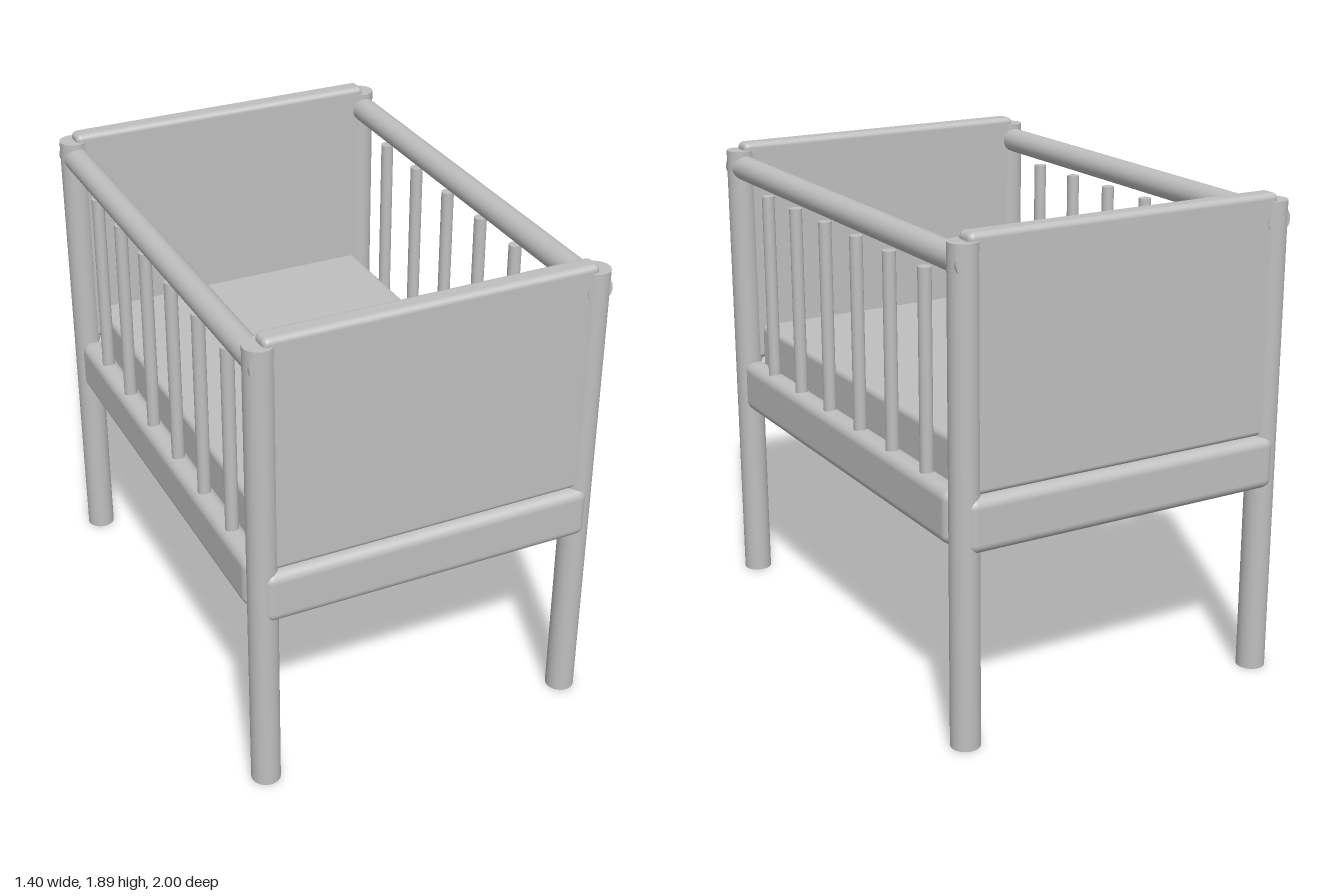
import * as THREE from 'three';
import { RoundedBoxGeometry } from 'three/addons/geometries/RoundedBoxGeometry.js';

export function createModel() {
  const crib = new THREE.Group();
  crib.name = 'crib';
  const grey = new THREE.MeshStandardMaterial({ color: 0xbfbfbf });
  grey.name = 'plain grey';

  const add = (name, geometry, x, y, z) => {
    const mesh = new THREE.Mesh(geometry, grey);
    mesh.name = name;
    mesh.position.set(x, y, z);
    crib.add(mesh);
    return mesh;
  };
  const rounded = (w, h, d, r) => new RoundedBoxGeometry(w, h, d, 5, r);
  const rod = (r, h) => new THREE.CylinderGeometry(r, r, h, 32);

  const postX = 0.645, postZ = 0.933;

  for (const side of [1, -1]) {
    const sideName = side > 0 ? 'left' : 'right';
    const endName = side > 0 ? 'front' : 'back';

    // Corner posts
    for (const end of [1, -1]) {
      add(`${sideName}${end > 0 ? 'Front' : 'Back'}Post`, rod(0.056, 1.86), side * postX, 0.93, end * postZ);
    }

    // Side: round top rail running into the posts, bars and lower rail
    const rail = add(`${sideName}TopRail`, rod(0.05, 1.95), side * postX, 1.79, 0);
    rail.rotation.x = Math.PI / 2;
    for (let i = 0; i < 6; i++) {
      add(`${sideName}Bar${i + 1}`, rod(0.025, 0.785), side * postX, 1.3225, (i - 2.5) * 0.265);
    }
    add(`${sideName}LowerRail`, rounded(0.095, 0.21, 1.775, 0.04), side * 0.644, 0.86, 0);

    // End: solid panel and lower rail
    add(`${endName}Panel`, rounded(1.284, 0.925, 0.084, 0.022), 0, 1.4275, side * 0.931);
    add(`${endName}LowerRail`, rounded(1.325, 0.21, 0.115, 0.04), 0, 0.86, side * 0.9425);
  }

  // Bed base and mattress
  add('bedBase', new THREE.BoxGeometry(1.28, 0.1, 1.88), 0, 0.806, 0);
  add('mattress', rounded(1.2, 0.28, 1.78, 0.025), 0, 0.975, 0);

  return crib;
}
